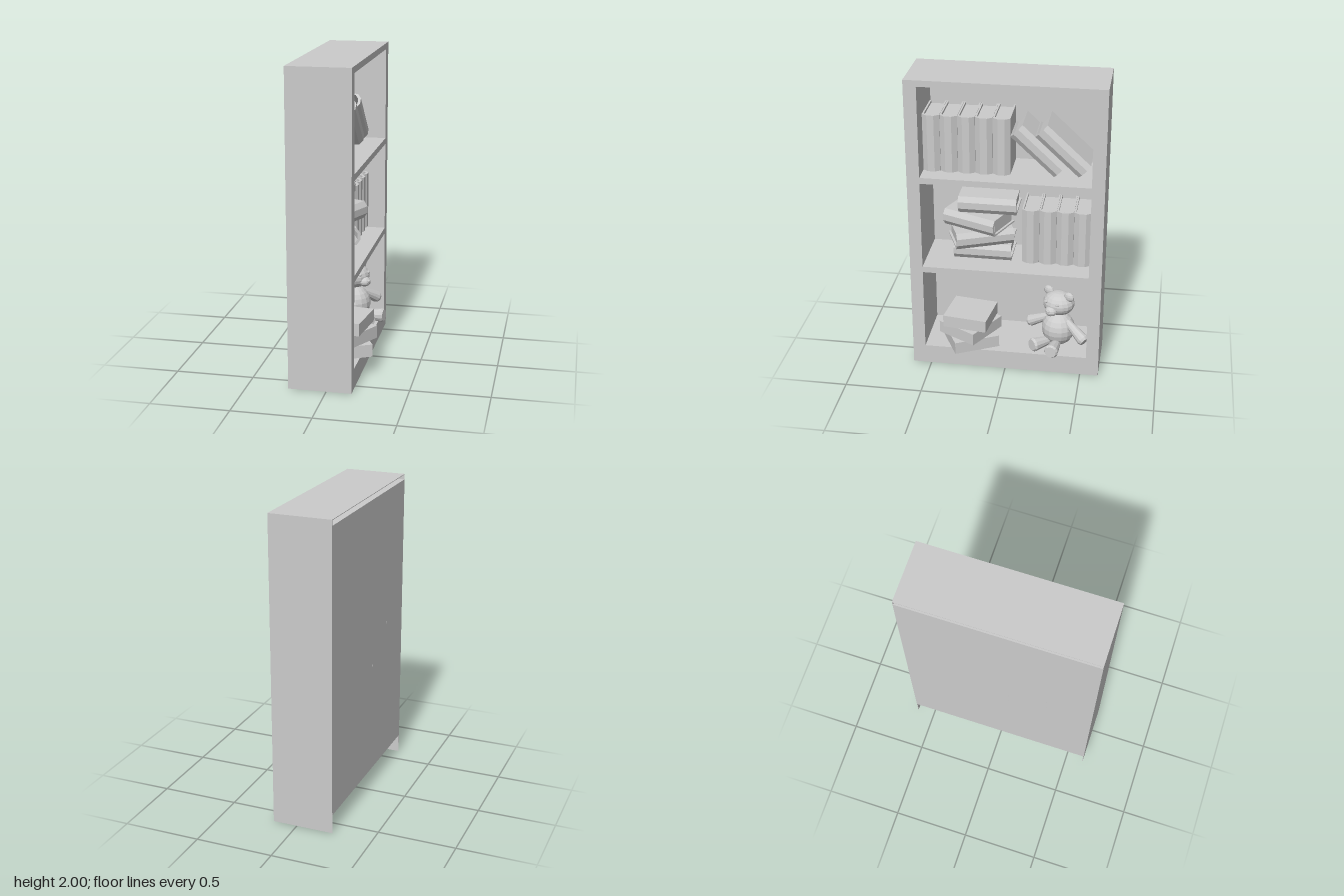
import * as THREE from 'three';

const mat = new THREE.MeshStandardMaterial({ color: 0xcccccc, flatShading: true, side: THREE.DoubleSide });

function add(parent, name, geometry, x = 0, y = 0, z = 0) {
  const mesh = new THREE.Mesh(geometry, mat);
  mesh.name = name;
  mesh.position.set(x, y, z);
  parent.add(mesh);
  return mesh;
}

// Box given by its limits on each axis
function block(parent, name, [x0, x1], [y0, y1], [z0, z1]) {
  return add(parent, name, new THREE.BoxGeometry(x1 - x0, y1 - y0, z1 - z0),
    (x0 + x1) / 2, (y0 + y1) / 2, (z0 + z1) / 2);
}

function createBookcase() {
  const g = new THREE.Group();
  g.name = 'bookcase';
  const T = 0.004, X = [-0.24, 0.155], W = 0.62, inner = 0.538;

  // Front frame with three openings
  const frame = new THREE.Shape([[-W, 0], [W, 0], [W, 2], [-W, 2]].map(p => new THREE.Vector2(...p)));
  for (const [y0, y1] of [[0.13, 0.69], [0.73, 1.32], [1.36, 1.96]]) {
    frame.holes.push(new THREE.Path(
      [[-inner, y0], [-inner, y1], [inner, y1], [inner, y0]].map(p => new THREE.Vector2(...p))));
  }
  const frameGeo = new THREE.ExtrudeGeometry(frame, { depth: T, bevelEnabled: false });
  frameGeo.rotateY(Math.PI / 2);
  add(g, 'frontFrame', frameGeo, 0.155);

  // Outer skin, open under the floor and behind the top
  block(g, 'topPanel', [-0.24, 0.159], [2 - T, 2], [-W, W]);
  block(g, 'ceiling', X, [1.96, 1.96 + T], [-W, W]);
  block(g, 'floorPanel', X, [0.125, 0.13], [-W, W]);
  block(g, 'backPanel', [-0.24, -0.236], [0.125, 1.96], [-W, W]);
  for (const s of [-1, 1]) {
    add(g, 'sidePanel', new THREE.BoxGeometry(0.395, 2, T), -0.0425, 1, s * (W - T / 2));
    add(g, 'innerWall', new THREE.BoxGeometry(0.395, 1.83, T), -0.0425, 1.045, s * (inner + T / 2));
  }
  for (const y of [0.69, 1.32]) block(g, 'shelf', X, [y, y + 0.04], [-inner, inner]);
  return g;
}

// Book cover wraps the pages, with a faceted round spine towards +x
const coverGeo = (() => {
  const half = [[-0.135, 0.044], [0.098, 0.044], [0.118, 0.018]];
  const outer = [[0.135, 0.022], [0.112, 0.055], [-0.135, 0.055]];
  const mirror = pts => pts.map(([a, b]) => [a, -b]).reverse();
  const outline = [...half, ...mirror(half), ...mirror(outer), ...outer];
  const geo = new THREE.ExtrudeGeometry(
    new THREE.Shape(outline.map(p => new THREE.Vector2(...p))), { depth: 0.375, bevelEnabled: false });
  return geo.translate(0, 0, -0.1875).rotateX(-Math.PI / 2);
})();
const pagesGeo = new THREE.BoxGeometry(0.21, 0.345, 0.088);

function addBook(parent, x, y, z, tilt = 0, turn = 0) {
  const g = new THREE.Group();
  g.name = 'book';
  add(g, 'cover', coverGeo);
  add(g, 'pages', pagesGeo, -0.018);
  g.position.set(x, y, z);
  g.rotation.set(tilt, turn, 0, 'YXZ');
  parent.add(g);
}

function createBooks() {
  const g = new THREE.Group();
  g.name = 'books';
  const x = -0.085, flat = Math.PI / 2;
  // Upright rows
  for (let i = 0; i < 5; i++) addBook(g, x, 1.548, 0.483 - i * 0.111);
  for (let i = 0; i < 4; i++) addBook(g, x, 0.938, -0.147 - i * 0.111);
  // Leaning pair
  addBook(g, x, 1.53, -0.19, 0.82);
  addBook(g, x, 1.537, -0.345, 0.82);
  // Flat pile
  addBook(g, x, 0.805, 0.165, flat);
  addBook(g, -0.045, 0.914, 0.187, flat, 0.39);
  addBook(g, -0.045, 1.023, 0.2, flat, -0.39);
  addBook(g, x, 1.133, 0.132, flat);
  // Plain boxes on the bottom shelf: depth, length, x, y, z, turn
  for (const [d, l, bx, by, bz, turn] of [
    [0.27, 0.305, 0.045, 0.171, 0.245, 0.467],
    [0.30, 0.287, 0.04, 0.253, 0.25, -0.512],
    [0.27, 0.293, 0.051, 0.335, 0.247, -0.138],
  ]) add(g, 'box', new THREE.BoxGeometry(d, 0.082, l), bx, by, bz).rotation.y = turn;
  return g;
}

// Ellipsoid with its own radii
function ball(parent, name, [x, y, z], [rx, ry, rz], seg = 14) {
  return add(parent, name, new THREE.SphereGeometry(1, seg, Math.round(seg * 0.7)), x, y, z).scale.set(rx, ry, rz);
}

// Flared limb with a softened end, from a to b
function limb(parent, name, a, b, r0, r1) {
  const from = new THREE.Vector3(...a), to = new THREE.Vector3(...b);
  const dir = to.clone().sub(from), len = dir.length();
  const profile = [[0, 0], [r0, 0], [r1, len * 0.9], [r1 * 0.82, len], [0, len]].map(p => new THREE.Vector2(...p));
  const mesh = add(parent, name, new THREE.LatheGeometry(profile, 12), ...a);
  mesh.quaternion.setFromUnitVectors(new THREE.Vector3(0, 1, 0), dir.normalize());
}

function createBear() {
  const g = new THREE.Group();
  g.name = 'toyBear';
  ball(g, 'body', [0, 0.248, 0], [0.108, 0.118, 0.112], 16);

  // Head faces local +x
  const head = new THREE.Group();
  head.name = 'head';
  head.position.set(0, 0.44, 0);
  ball(head, 'skull', [0, 0, 0], [0.098, 0.08, 0.108], 16);
  ball(head, 'snout', [0.088, -0.025, 0], [0.04, 0.033, 0.042], 12);
  ball(head, 'nose', [0.124, -0.013, 0], [0.01, 0.01, 0.014], 8);
  g.add(head);

  for (const s of [-1, 1]) {
    ball(head, 'ear', [0, 0.066, s * 0.08], [0.022, 0.034, 0.038], 10);
    ball(head, 'eye', [0.084, 0.03, s * 0.044], [0.011, 0.011, 0.011], 8);
    limb(g, 'arm', [0, 0.315, s * 0.07], [0.022, 0.228, s * 0.225], 0.024, 0.04);
    limb(g, 'leg', [0.06, 0.168, s * 0.03], [0.198, 0.177, s * 0.075], 0.028, 0.047);
  }
  g.position.set(-0.01, 0, -0.335);
  g.rotation.y = -0.5;
  return g;
}

export function createModel() {
  const model = new THREE.Group();
  model.name = 'filledBookcase';
  model.add(createBookcase(), createBooks(), createBear());
  return model;
}
